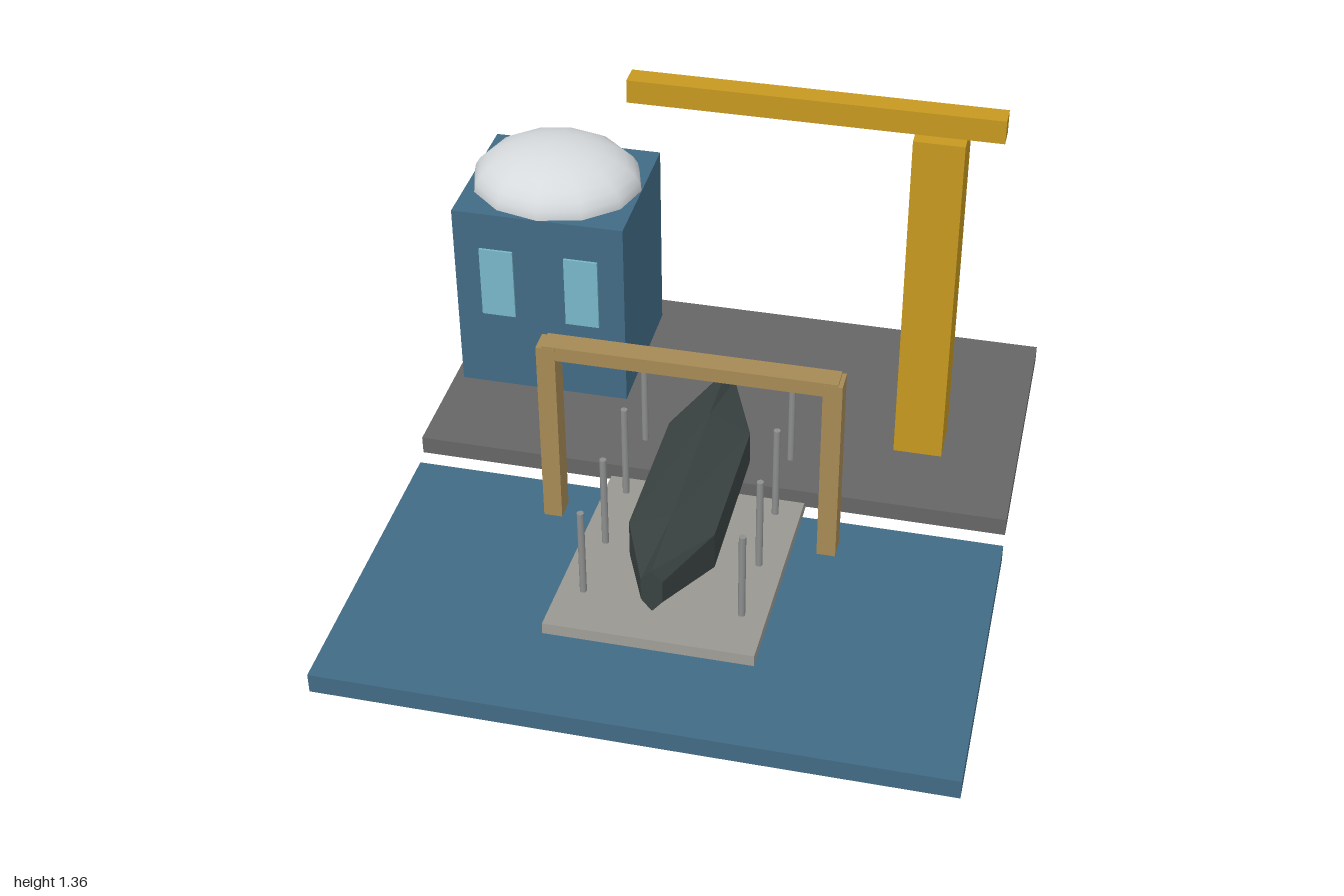
import * as THREE from 'three';

const mat = (name, color) => {
  const m = new THREE.MeshStandardMaterial({ color });
  m.name = name;
  return m;
};

// Hull lofted through scaled hexagonal sections, capped at both ends
function hullGeometry() {
  // z, half width, keel, lower chine, upper chine, ridge
  const sections = [
    [-0.335, 0.028, 0.225, 0.265, 0.325, 0.357],
    [-0.085, 0.13, 0.14, 0.2, 0.313, 0.37],
    [0.43, 0.13, 0.14, 0.2, 0.325, 0.37],
    [0.68, 0.032, 0.22, 0.26, 0.335, 0.37],
  ];
  const rings = sections.map(([z, w, keel, low, up, ridge]) => [
    [0, ridge, z], [-w, up, z], [-w, low, z], [0, keel, z], [w, low, z], [w, up, z],
  ]);
  const pos = [];
  const tri = (a, b, c) => pos.push(...a, ...b, ...c);
  for (let i = 0; i < rings.length - 1; i++) {
    for (let j = 0; j < 6; j++) {
      const k = (j + 1) % 6, a = rings[i], b = rings[i + 1];
      tri(a[j], a[k], b[k]);
      tri(a[j], b[k], b[j]);
    }
  }
  const stern = rings[0], bow = rings[rings.length - 1];
  for (let j = 1; j < 5; j++) {
    tri(stern[0], stern[j + 1], stern[j]);
    tri(bow[0], bow[j], bow[j + 1]);
  }
  const g = new THREE.BufferGeometry();
  g.setAttribute('position', new THREE.Float32BufferAttribute(pos, 3));
  g.computeVertexNormals();
  return g;
}

export function createModel() {
  const model = new THREE.Group();
  model.name = 'shipyard';

  const blue = mat('harbour blue', 0x416b85);
  const concrete = mat('quay grey', 0x666666);
  const yellow = mat('crane yellow', 0xc6981f);
  const white = mat('dome white', 0xd6dadd);
  const glass = mat('window glass', 0x78b7c8);
  const timber = mat('timber tan', 0xa68a56);
  const slip = mat('slipway grey', 0x9b9a94);
  const steel = mat('pole steel', 0x8d8f8e);
  const dark = mat('hull dark', 0x394141);

  const add = (name, geometry, material, x = 0, y = 0, z = 0) => {
    const m = new THREE.Mesh(geometry, material);
    m.name = name;
    m.position.set(x, y, z);
    model.add(m);
    return m;
  };
  // Box given by its minimum and maximum on each axis
  const box = (name, material, x0, x1, y0, y1, z0, z1) =>
    add(name, new THREE.BoxGeometry(x1 - x0, y1 - y0, z1 - z0), material,
      (x0 + x1) / 2, (y0 + y1) / 2, (z0 + z1) / 2);

  // Water and quay slabs
  box('water', blue, -0.95, 0.95, 0, 0.065, -0.015, 1);
  box('quay', concrete, -0.95, 0.95, 0.08, 0.14, -1, -0.05);

  // Domed building with two windows at front and back
  box('building', blue, -0.92, -0.353, 0.14, 0.8, -0.904, -0.4);
  const dome = add('dome',
    new THREE.SphereGeometry(1, 12, 8, 0, Math.PI * 2, 0, Math.PI / 2),
    white, -0.637, 0.8, -0.652);
  dome.scale.set(0.283, 0.143, 0.252);
  for (const x of [-0.778, -0.495]) {
    box('frontWindow', glass, x - 0.056, x + 0.056, 0.42, 0.67, -0.4, -0.392);
    box('backWindow', glass, x - 0.056, x + 0.056, 0.42, 0.67, -0.912, -0.904);
  }

  // Crane
  box('craneMast', yellow, 0.555, 0.71, 0.14, 1.285, -0.475, -0.322);
  box('craneJib', yellow, -0.32, 0.82, 1.285, 1.36, -0.436, -0.365);

  // Sloping slipway
  const ramp = add('slipway', new THREE.BoxGeometry(0.63, 0.035, 1.138), slip, 0, 0.096, 0.177);
  ramp.rotation.x = -0.088;

  // Rows of poles either side of the ship
  for (const x of [-0.24, 0.24]) {
    for (const z of [0.56, 0.305, 0.05, -0.205]) {
      add('pole', new THREE.CylinderGeometry(0.011, 0.011, 0.325, 8), steel, x, 0.283, z);
    }
  }

  // Ship hull
  add('hull', hullGeometry(), dark);

  // Gantry frame over the ship
  box('gantryLeg', timber, -0.463, -0.405, 0.118, 0.755, 0.137, 0.21);
  box('gantryLeg', timber, 0.4, 0.458, 0.118, 0.755, 0.137, 0.21);
  box('gantryBeam', timber, -0.445, 0.445, 0.715, 0.762, 0.138, 0.209);

  return model;
}
